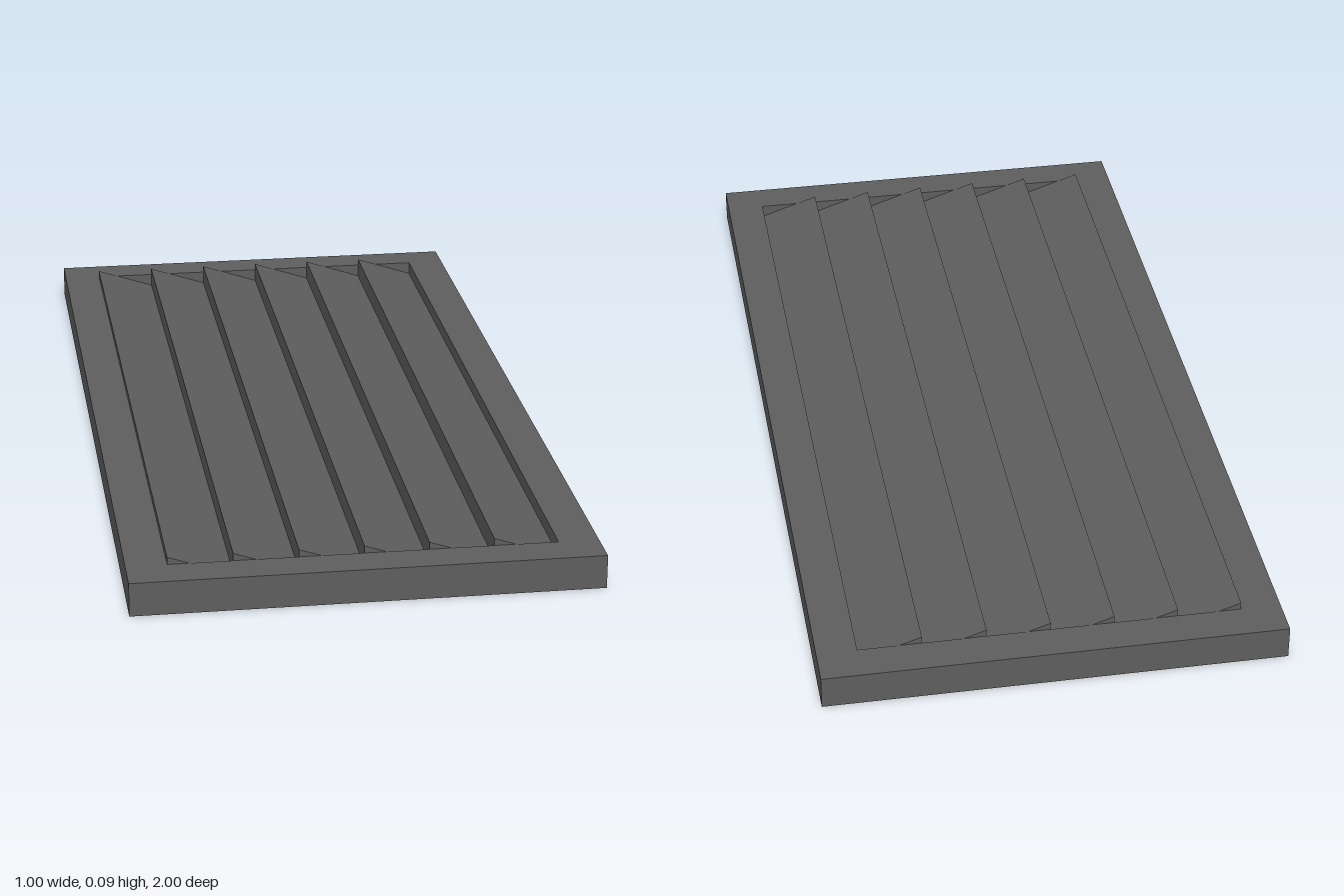
import * as THREE from 'three';

const W = 0.5, L = 1, H = 0.074;        // frame half width, half length, height
const IX = 0.413, IZ = 0.917;           // opening half width and half length
const HIGH = 0.09, LOW = 0.044;         // slat edge heights
const SLATS = 6, PITCH = (2 * IX) / SLATS;

// Flat polygon (triangle or quad) from corners listed anticlockwise
function face(...pts) {
  const g = new THREE.BufferGeometry();
  g.setAttribute('position', new THREE.Float32BufferAttribute(pts.flat(), 3));
  g.setIndex(pts.length === 4 ? [0, 1, 2, 0, 2, 3] : [0, 1, 2]);
  g.computeVertexNormals();
  return g;
}

export function createModel() {
  const model = new THREE.Group();
  model.name = 'louveredVent';
  const metal = new THREE.MeshStandardMaterial({ color: 0x5e5e5e, side: THREE.DoubleSide });
  metal.name = 'darkGreyMetal';
  const add = (name, geometry, parent) => {
    const mesh = new THREE.Mesh(geometry, metal);
    mesh.name = name;
    parent.add(mesh);
    return mesh;
  };

  // Sheet frame: top border with a rectangular opening
  const frame = new THREE.Group();
  frame.name = 'frame';
  const rect = (x, z) => [[-x, -z], [x, -z], [x, z], [-x, z]].map(p => new THREE.Vector2(...p));
  const border = new THREE.Shape(rect(W, L));
  border.holes.push(new THREE.Path(rect(IX, IZ).reverse()));
  add('topBorder', new THREE.ShapeGeometry(border).rotateX(-Math.PI / 2).translate(0, H, 0), frame);

  // Thin outer skirt, open underneath
  const corners = [[-W, L], [W, L], [W, -L], [-W, -L]];
  corners.forEach(([x, z], i) => {
    const [u, v] = corners[(i + 1) % 4];
    add('skirt', face([x, 0, z], [u, 0, v], [u, H, v], [x, H, z]), frame);
  });

  // Slats: sloping blade, riser at its high edge, closed ends
  const louvers = new THREE.Group();
  louvers.name = 'louvers';
  for (let i = 0; i < SLATS; i++) {
    const slat = new THREE.Group();
    slat.name = 'slat';
    const a = -IX + i * PITCH, b = a + PITCH;
    const base = i === 0 ? H : LOW;
    const cross = a + PITCH * (HIGH - H) / (HIGH - LOW);  // blade meets frame level
    add('blade', face([a, HIGH, IZ], [b, LOW, IZ], [b, LOW, -IZ], [a, HIGH, -IZ]), slat);
    add('riser', face([a, base, -IZ], [a, base, IZ], [a, HIGH, IZ], [a, HIGH, -IZ]), slat);
    for (const s of [1, -1]) {
      const z = s * IZ;
      const upper = [[a, H, z], [cross, H, z], [a, HIGH, z]];
      const lower = [[cross, H, z], [b, H, z], [b, LOW, z]];
      if (s < 0) upper.reverse(); else lower.slice();
      if (s < 0) lower.reverse();
      add('upperEnd', face(...upper), slat);
      add('lowerEnd', face(...lower.reverse()), slat);
    }
    louvers.add(slat);
  }
  // Wall from the last blade up to the border
  add('openingWall', face([IX, LOW, -IZ], [IX, LOW, IZ], [IX, H, IZ], [IX, H, -IZ]), louvers);

  model.add(frame, louvers);
  return model;
}
